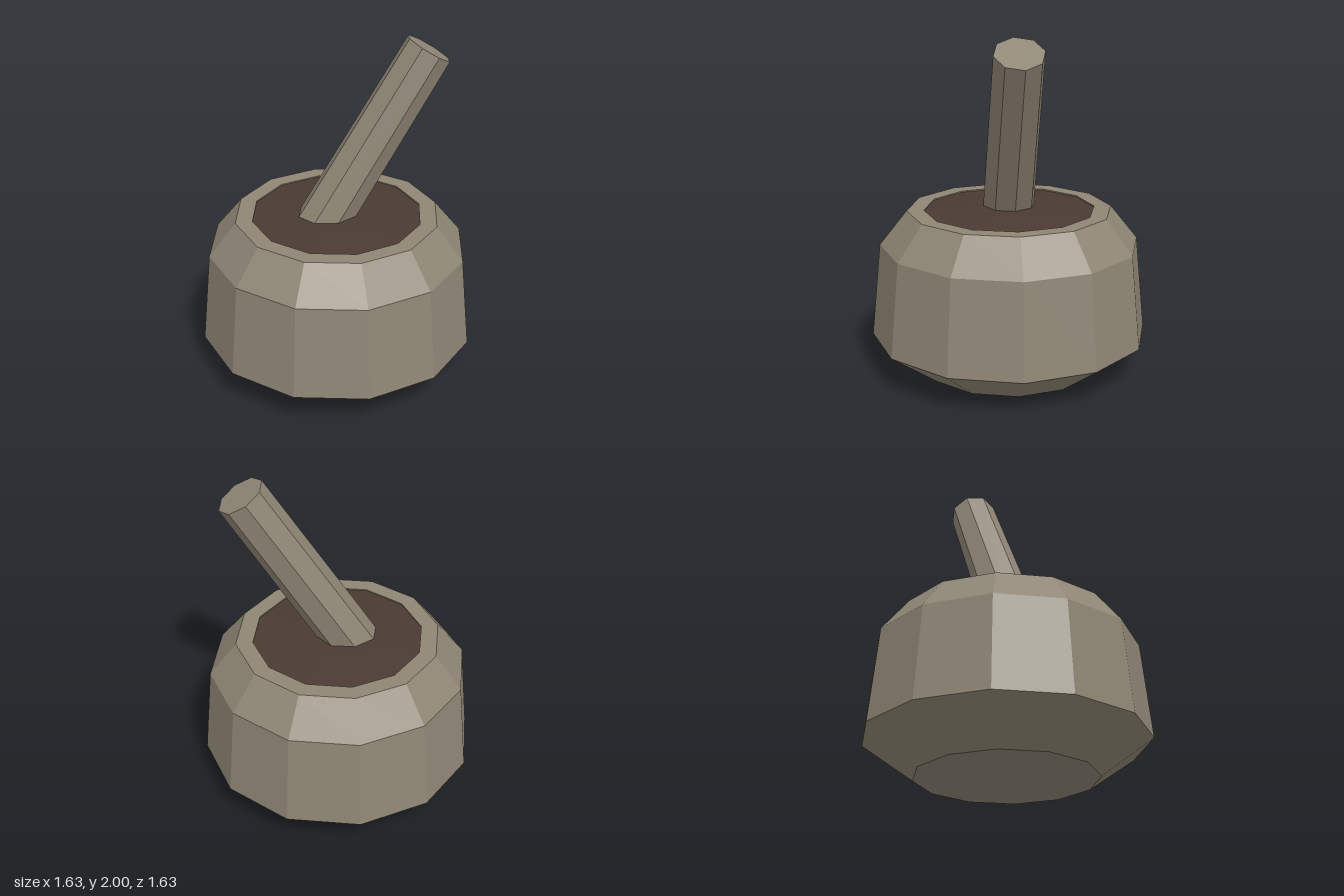
import * as THREE from 'three';

const stone = new THREE.MeshStandardMaterial({ color: 0x8f8675, flatShading: true });
stone.name = 'stone';
const paste = new THREE.MeshStandardMaterial({ color: 0x4a3a33, flatShading: true });
paste.name = 'darkPaste';

// Twelve-sided turned part from [radius, height] pairs
function turned(name, profile, material) {
  const points = profile.map(([r, y]) => new THREE.Vector2(r, y));
  const mesh = new THREE.Mesh(new THREE.LatheGeometry(points, 12), material);
  mesh.name = name;
  return mesh;
}

export function createModel() {
  const model = new THREE.Group();
  model.name = 'mortarAndPestle';

  // Bowl: underside, flared foot, wall, bevelled shoulder, flat rim, inner wall
  model.add(turned('bowl', [
    [0, 0], [0.52, 0], [0.815, 0.21], [0.76, 0.76], [0.6, 0.96], [0.5, 0.96], [0.5, 0.85],
  ], stone));

  // Gently domed contents
  model.add(turned('contents', [[0.5, 0.953], [0.25, 0.969], [0, 0.978]], paste));

  // Leaning pestle, slightly thicker towards the bowl
  const length = 1.3, tilt = 0.54;
  const shaft = new THREE.CylinderGeometry(0.141, 0.156, length, 8, 1, false, THREE.MathUtils.degToRad(98));
  shaft.translate(0, -length / 2, 0);
  const pestle = new THREE.Mesh(shaft, stone);
  pestle.name = 'pestle';
  pestle.position.set(0.525, 1.93, 0);
  pestle.rotation.z = -tilt;
  model.add(pestle);

  return model;
}
